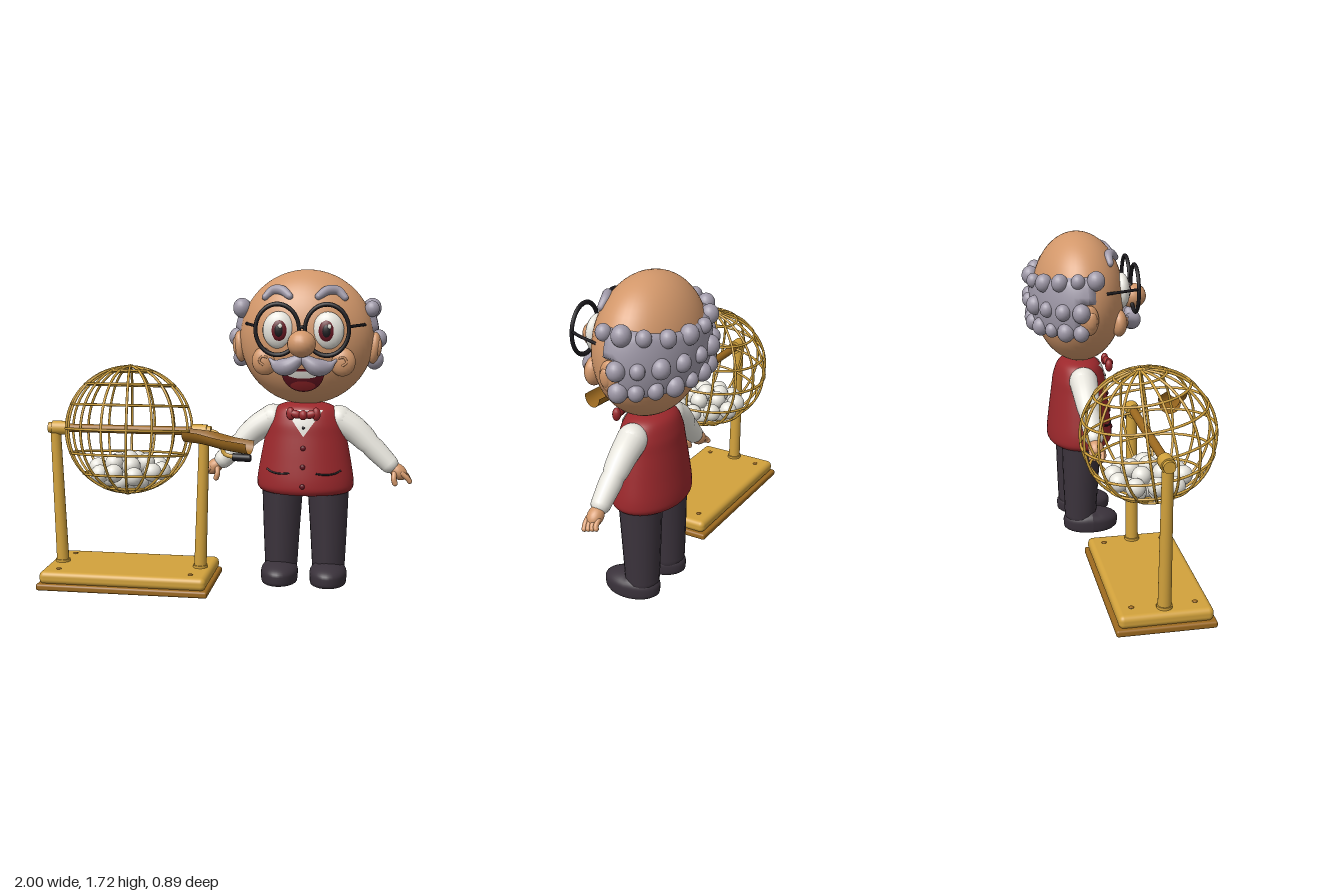
import * as THREE from 'three';
import { RoundedBoxGeometry } from 'three/addons/geometries/RoundedBoxGeometry.js';

const mat = (name, color, side = THREE.FrontSide) => {
  const m = new THREE.MeshStandardMaterial({ color, side });
  m.name = name;
  return m;
};
const V = (x, y, z) => new THREE.Vector3(x, y, z);

export function createModel() {
  const skin = mat('skin', 0xd2976a), hair = mat('grey hair', 0x9f99a8), red = mat('red cloth', 0x9c282c);
  const white = mat('white', 0xe6e4dc, THREE.DoubleSide), black = mat('black', 0x1c1a1e);
  const cloth = mat('dark cloth', 0x3a323b), gold = mat('gold', 0xd2a23c);
  const bronze = mat('bronze', 0x9c691f, THREE.DoubleSide), wine = mat('wine', 0x641420);
  const model = new THREE.Group(), machine = new THREE.Group(), man = new THREE.Group();
  machine.name = 'ballMachine';
  man.name = 'man';
  model.add(machine, man);

  const add = (parent, name, geo, material, x = 0, y = 0, z = 0) => {
    const m = new THREE.Mesh(geo, material);
    m.name = name;
    m.position.set(x, y, z);
    parent.add(m);
    return m;
  };
  // Ellipsoid, with fewer sides when it is small
  const ball = (parent, name, material, x, y, z, rx, ry = rx, rz = rx, roll = 0) => {
    const n = rx > 0.2 ? 48 : rx > 0.03 ? 20 : 12;
    const m = add(parent, name, new THREE.SphereGeometry(1, n, Math.round(n * 0.65)), material, x, y, z);
    m.scale.set(rx, ry, rz);
    m.rotation.z = roll;
    return m;
  };
  const tube = (parent, name, material, pts, r) =>
    add(parent, name, new THREE.TubeGeometry(new THREE.CatmullRomCurve3(pts), 16, r, 8), material);
  // Tube whose radius follows a rule along its length, with rounded ends
  const limb = (parent, name, material, pts, radius, n = 20) => {
    const curve = new THREE.CatmullRomCurve3(pts), geo = new THREE.TubeGeometry(curve, n, 1, 18);
    const p = geo.attributes.position, v = V(0, 0, 0);
    for (let i = 0; i < p.count; i++) {
      const t = Math.floor(i / 19) / n, c = curve.getPointAt(t);
      v.fromBufferAttribute(p, i).sub(c).multiplyScalar(radius(t)).add(c);
      p.setXYZ(i, v.x, v.y, v.z);
    }
    add(parent, name, geo, material);
    for (const t of [0, 1]) {
      const c = curve.getPointAt(t);
      ball(parent, name + 'End', material, c.x, c.y, c.z, radius(t));
    }
  };
  const rod = (parent, name, material, a, b, r1, r2 = r1) => {
    const m = add(parent, name, new THREE.CylinderGeometry(r2, r1, a.distanceTo(b), 24), material);
    m.position.copy(a).lerp(b, 0.5);
    m.quaternion.setFromUnitVectors(V(0, 1, 0), b.clone().sub(a).normalize());
    return m;
  };

  // ---- Machine: base, posts and axle ----
  const cx = -0.53, cy = 0.855, cz = 0.07;
  add(machine, 'baseFoot', new RoundedBoxGeometry(0.94, 0.036, 0.505, 3, 0.012), bronze, cx, 0.018, cz);
  add(machine, 'base', new RoundedBoxGeometry(0.915, 0.07, 0.475, 4, 0.028), gold, cx, 0.066, cz);
  for (const s of [-1, 1]) {
    for (const t of [-1, 1])
      ball(machine, 'baseScrew', bronze, cx + s * 0.365, 0.102, cz + t * 0.16, 0.014, 0.006, 0.014);
    rod(machine, 'post', gold, V(cx + s * 0.39, 0.09, cz), V(cx + s * 0.415, 0.85, cz), 0.034, 0.028);
    rod(machine, 'postCollar', gold, V(cx + s * 0.39, 0.09, cz), V(cx + s * 0.39, 0.115, cz), 0.04);
    rod(machine, 'bearing', gold, V(cx + s * 0.35, cy, cz), V(cx + s * 0.43, cy, cz), 0.038);
    rod(machine, 'axleCap', gold, V(cx + s * 0.43, cy, cz), V(cx + s * 0.452, cy, cz), 0.03);
  }
  rod(machine, 'axle', bronze, V(cx - 0.4, cy, cz), V(cx + 0.4, cy, cz), 0.023);

  // ---- Wire cage, leaning slightly back ----
  const cage = new THREE.Group(), R = 0.342;
  cage.name = 'cage';
  cage.position.set(cx, cy, cz);
  cage.rotation.x = -0.14;
  machine.add(cage);
  for (let i = 0; i < 8; i++)
    add(cage, 'cageMeridian', new THREE.TorusGeometry(R, 0.007, 8, 64), gold).rotation.y = (i + 0.5) * Math.PI / 8;
  for (let i = -3; i <= 3; i++) {
    const a = i * Math.PI / 8;
    add(cage, 'cageRing', new THREE.TorusGeometry(R * Math.cos(a), 0.007, 8, 64), gold, 0, R * Math.sin(a))
      .rotation.x = Math.PI / 2;
  }
  for (const s of [-1, 1]) ball(cage, 'cagePole', gold, 0, s * R, 0, 0.022, 0.012, 0.022);

  // ---- Balls heaped in the cage: count, ring radius, height ----
  for (const [n, r, y] of [[1, 0, 0.57], [6, 0.104, 0.59], [10, 0.176, 0.635], [5, 0.09, 0.672], [1, 0, 0.69]])
    for (let i = 0; i < n; i++) {
      const a = i / n * Math.PI * 2 + n;
      ball(machine, 'ball', white, cx + r * Math.cos(a), y + 0.01 * Math.sin(i * 3), cz + r * Math.sin(a), 0.05);
    }

  // ---- Crank and chute ----
  tube(machine, 'crank', gold, [V(-0.1, cy, cz), V(-0.05, 0.85, 0.075), V(-0.02, 0.8, 0.09),
    V(0, 0.74, 0.1), V(0.06, 0.725, 0.103)], 0.012);
  rod(machine, 'crankHandle', black, V(0.045, 0.725, 0.103), V(0.135, 0.722, 0.103), 0.021);
  ball(machine, 'crankHandleEnd', black, 0.135, 0.722, 0.103, 0.012, 0.021, 0.021);
  const chutePath = new THREE.CatmullRomCurve3([V(-0.18, 0.892, 0.265), V(-0.08, 0.885, 0.285),
    V(0.06, 0.87, 0.365), V(0.178, 0.858, 0.395)]);
  const chute = new THREE.PlaneGeometry(1, 1, 24, 12), cp = chute.attributes.position;
  for (let i = 0; i < cp.count; i++) {
    const t = cp.getX(i) + 0.5, a = (cp.getY(i) + 0.5) * Math.PI;
    const c = chutePath.getPoint(t), d = chutePath.getTangent(t), w = 0.058 * Math.cos(a) / Math.hypot(d.x, d.z);
    cp.setXYZ(i, c.x - d.z * w, c.y - 0.062 * Math.sin(a), c.z + d.x * w);
  }
  chute.computeVertexNormals();
  add(machine, 'chute', chute, bronze);

  // ---- Man: origin at his centre line ----
  man.position.set(0.414, 0, -0.13);
  const HY = 1.353, HX = 0.362, HZ = 0.255;
  const headZ = (x, y) => HZ * Math.sqrt(Math.max(0, 1 - (x / HX) ** 2 - ((y - HY) / HX) ** 2));
  const vest = new THREE.SplineCurve([[0, 0.505], [0.2, 0.505], [0.256, 0.525], [0.264, 0.58], [0.245, 0.7],
    [0.222, 0.82], [0.205, 0.9], [0.165, 0.97], [0.09, 1.0], [0.001, 1.005]].map(p => new THREE.Vector2(...p))).getPoints(60);
  const vestZ = (x, y) => {
    const i = vest.findIndex((p, k) => k > 14 && p.y >= y), a = vest[i - 1], b = vest[i];
    const r = a.x + (b.x - a.x) * (y - a.y) / (b.y - a.y);
    return 0.7 * Math.sqrt(Math.max(0, r * r - x * x));
  };
  // Lays a flat patch on a curved front
  const patch = (name, geo, material, surface, offset, rule) => {
    const p = geo.attributes.position;
    for (let i = 0; i < p.count; i++) {
      const [x, y] = rule(p.getX(i), p.getY(i));
      p.setXYZ(i, x, y, surface(x, y) + offset);
    }
    geo.computeVertexNormals();
    add(man, name, geo, material);
  };
  const disc = () => new THREE.RingGeometry(0, 1, 32, 6);

  // ---- Body and clothes ----
  add(man, 'vest', new THREE.LatheGeometry(vest, 48), red).scale.z = 0.7;
  patch('shirtFront', new THREE.PlaneGeometry(1, 1, 10, 14), white, vestZ, 0.006,
    (x, y) => [x * 0.2 * (y + 0.5), 0.83 + (y + 0.5) * 0.14]);
  ball(man, 'shirtButton', black, 0, 0.88, vestZ(0, 0.88) + 0.008, 0.008, 0.008, 0.004);
  for (const y of [0.77, 0.67, 0.565])
    ball(man, 'vestButton', wine, 0, y, vestZ(0, y) + 0.004, 0.014, 0.014, 0.008);
  ball(man, 'bowKnot', red, 0, 0.952, 0.18, 0.024, 0.027, 0.022);

  for (const s of [-1, 1]) {
    ball(man, 'bowWing', red, s * 0.04, 0.955, 0.17, 0.038, 0.022, 0.02, s * 0.25);
    ball(man, 'bowWingEnd', red, s * 0.068, 0.957, 0.165, 0.024, 0.036, 0.022);
    tube(man, 'pocket', black, [[0.07, 0.635], [0.12, 0.628], [0.17, 0.632], [0.2, 0.645]].map(([x, y]) =>
      V(s * x, y, vestZ(x, y) + 0.001)), 0.005);
    // Arm and hand
    limb(man, 'sleeve', white, [V(s * 0.18, 0.905, 0), V(s * 0.27, 0.85, 0), V(s * 0.36, 0.765, 0.005),
      V(s * 0.455, 0.672, 0.01)], t => 0.08 - 0.029 * t - 0.006 * Math.exp(-(((t - 0.6) / 0.05) ** 2)));
    ball(man, 'palm', skin, s * 0.505, 0.63, 0.01, 0.056, 0.04, 0.042, -s * 0.7);
    for (let i = 0; i < 4; i++)
      limb(man, 'finger', skin, [V(s * 0.525, 0.625, 0.038 - i * 0.019), V(s * 0.552, 0.603, 0.038 - i * 0.02),
        V(s * (0.568 - 0.004 * i), 0.582 + 0.004 * i, 0.034 - i * 0.02)], () => 0.0135, 6);
    limb(man, 'thumb', skin, [V(s * 0.485, 0.625, 0.04), V(s * 0.483, 0.595, 0.055), V(s * 0.49, 0.572, 0.055)], () => 0.015, 6);
    // Leg and shoe
    limb(man, 'leg', cloth, [V(s * 0.126, 0.52, -0.008), V(s * 0.13, 0.3, -0.014), V(s * 0.132, 0.09, -0.018)],
      t => 0.113 - 0.022 * t);
    const shoe = new THREE.SphereGeometry(1, 32, 24), q = shoe.attributes.position;
    for (let i = 0; i < q.count; i++) {
      const y = q.getY(i), z = q.getZ(i), grow = y < 0 ? 1 / Math.max(0.35, Math.sqrt(1 - y * y * 0.85)) : 1;
      q.setXYZ(i, q.getX(i) * 0.102 * Math.min(grow, 1.25),
        0.055 + (y < 0 ? Math.max(y * 1.6, -1) * 0.055 : y * (z > 0 ? 0.06 : 0.072)),
        z * 0.158 * Math.min(grow, 1.12));
    }
    shoe.computeVertexNormals();
    add(man, 'shoe', shoe, cloth, s * 0.135, 0, 0.04);
  }

  // ---- Head and face ----
  ball(man, 'head', skin, 0, HY, 0, HX, HX, HZ);
  ball(man, 'nose', skin, 0, 1.342, 0.317, 0.074, 0.07, 0.074);
  patch('mouth', disc(), wine, headZ, 0.016, (x, y) => [x * 0.112, 1.185 + (y > 0 ? y * 0.02 : y * 0.108)]);
  patch('tongue', disc(), red, headZ, 0.021, (x, y) => [x * 0.066, 1.112 + y * 0.026]);
  patch('teeth', disc(), white, headZ, 0.021, (x, y) => [x * 0.085, 1.178 + (y > 0 ? y * 0.015 : y * 0.025)]);
  for (const s of [-1, 1]) {
    ball(man, 'cheek', skin, s * 0.205, 1.24, 0.195, 0.068, 0.076, 0.045);
    tube(man, 'smileLine', skin, [V(s * 0.185, 1.262, 0.238), V(s * 0.215, 1.266, 0.238), V(s * 0.228, 1.24, 0.238),
      V(s * 0.205, 1.222, 0.24)], 0.006);
    ball(man, 'ear', skin, s * 0.362, 1.3, 0.005, 0.034, 0.085, 0.052, -s * 0.1);
    ball(man, 'earInner', skin, s * 0.385, 1.3, 0.015, 0.018, 0.05, 0.03, -s * 0.1);
    // Eye in layers
    const ex = s * 0.128, ey = 1.405;
    ball(man, 'eyeWhite', white, ex, ey, 0.225, 0.085, 0.098, 0.045);
    ball(man, 'iris', wine, ex - s * 0.004, ey, 0.258, 0.043, 0.056, 0.016);
    ball(man, 'pupil', black, ex - s * 0.004, ey, 0.268, 0.024, 0.034, 0.01);
    ball(man, 'eyeGlint', white, ex + 0.012, ey + 0.025, 0.275, 0.011, 0.013, 0.005);
    limb(man, 'eyebrow', hair, [[0.075, 1.58], [0.12, 1.61], [0.17, 1.608], [0.21, 1.573]].map(([x, y]) =>
      V(s * x, y, headZ(x, y) + 0.008)), t => 0.012 + 0.014 * Math.sin(Math.PI * (0.15 + 0.7 * t)));
    limb(man, 'moustache', hair, [V(s * 0.02, 1.255, 0.29), V(s * 0.075, 1.222, 0.3), V(s * 0.13, 1.222, 0.265),
      V(s * 0.178, 1.255, 0.225)], t => 0.03 + 0.025 * Math.sin(Math.PI * Math.min(1, t * 1.15)) - 0.022 * t);
    // Spectacles
    add(man, 'glassesRim', new THREE.TorusGeometry(0.113, 0.0105, 10, 48), black, ex, 1.413, 0.3).scale.y = 1.16;
    tube(man, 'glassesTemple', black, [V(s * 0.237, 1.43, 0.3), V(s * 0.27, 1.432, 0.24), V(s * 0.315, 1.43, 0.105)], 0.008);
  }
  tube(man, 'glassesBridge', black, [V(-0.022, 1.415, 0.3), V(0, 1.428, 0.303), V(0.022, 1.415, 0.3)], 0.009);

  // ---- Hair: raised band round the back of the head, covered in curls ----
  const band = new THREE.SphereGeometry(1, 64, 48), b = band.attributes.position, step = THREE.MathUtils.smoothstep;
  for (let i = 0; i < b.count; i++) {
    const v = V(0, 0, 0).fromBufferAttribute(b, i), a = Math.atan2(v.x, -v.z);
    const side = v.y > 0.08 ? 1.8 : 1.5, top = 0.4 + 0.12 * Math.sin(a) ** 2;
    const m = step(top - v.y, 0, 0.1) * step(v.y + 0.48, 0, 0.1) * step(side - Math.abs(a), 0, 0.12);
    v.multiplyScalar(0.96 + 0.115 * m);
    b.setXYZ(i, v.x * HX, v.y * HX, v.z * HZ);
  }
  band.computeVertexNormals();
  add(man, 'hairBand', band, hair, 0, HY);
  [-0.31, -0.02, 0.29].forEach((h, row) => {
    const n = row === 1 ? 9 : 10, lim = row === 2 ? 1.75 : 1.42;
    for (let i = 0; i < n; i++) {
      const a = -lim + 2 * lim * i / (n - 1), y = h + (row === 2 ? 0.12 * Math.sin(a) ** 2 : 0);
      const c = Math.sqrt(1 - y * y) * 1.07, r = 0.043 + 0.006 * Math.sin(i * 2.3 + row);
      ball(man, 'curl', hair, Math.sin(a) * c * HX, HY + y * HX * 1.07, -Math.cos(a) * c * HZ, r, r * 1.1, r);
    }
  });
  return model;
}
